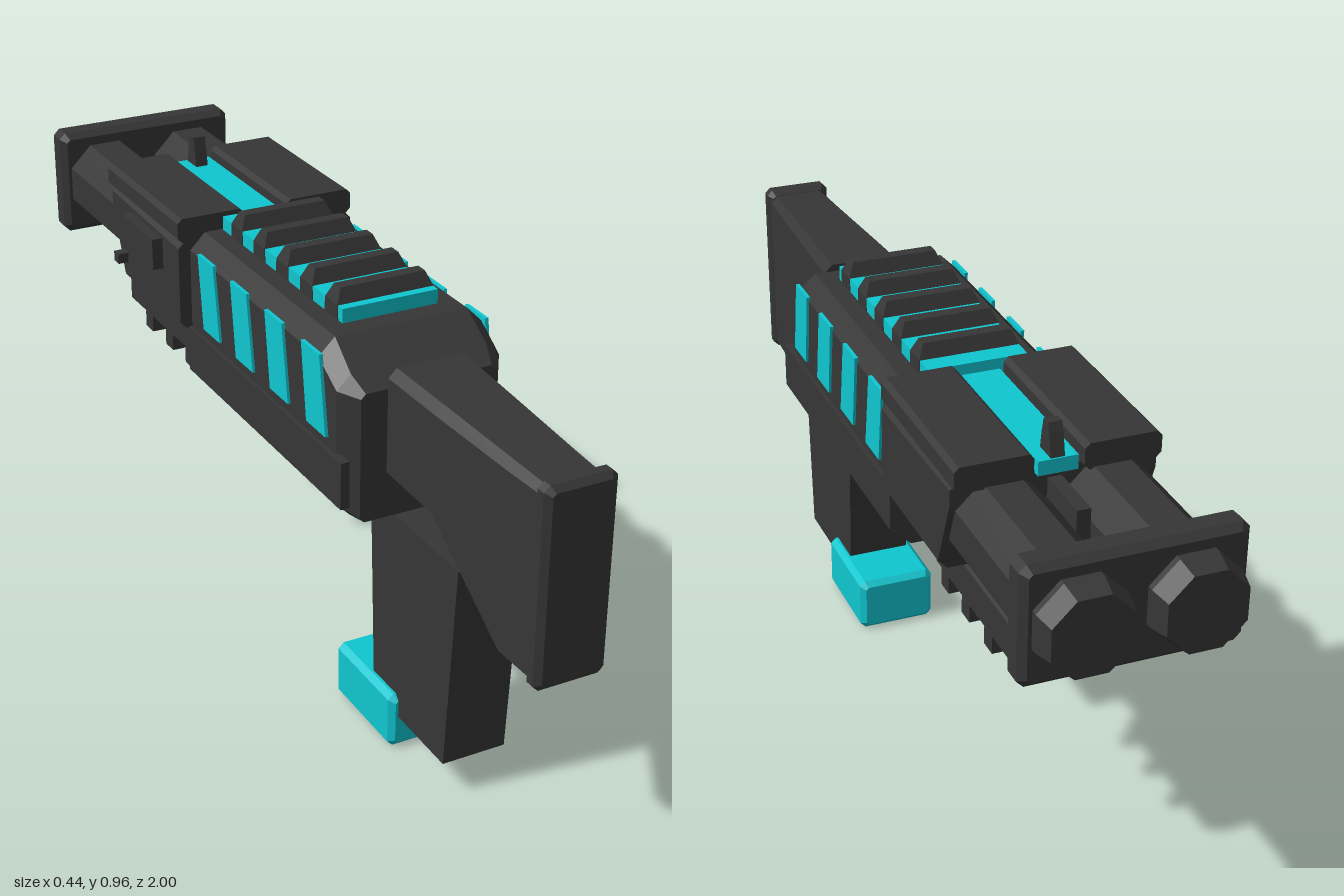
import * as THREE from 'three';
import { ConvexGeometry } from 'three/addons/geometries/ConvexGeometry.js';

export function createModel() {
  const model = new THREE.Group();
  model.name = 'doubleBarrelBlaster';
  const body = new THREE.Group();
  body.name = 'blaster';
  body.position.x = 0.005;
  model.add(body);

  const gunmetal = new THREE.MeshStandardMaterial({ color: 0x363636 });
  gunmetal.name = 'gunmetal';
  const cyan = new THREE.MeshStandardMaterial({ color: 0x0fc6d0 });
  cyan.name = 'cyan';

  const add = (name, geometry, material = gunmetal) => {
    const mesh = new THREE.Mesh(geometry, material);
    mesh.name = name;
    body.add(mesh);
    return mesh;
  };

  // Octagonal cross-section across z: centre x, half width, bottom, top, chamfer
  const section = (z, w, y0, y1, c = 0.015, cx = 0) => [
    [w - c, y0], [w, y0 + c], [w, y1 - c], [w - c, y1],
    [c - w, y1], [-w, y1 - c], [-w, y0 + c], [c - w, y0],
  ].map(([x, y]) => new THREE.Vector3(cx + x, y, z));
  const hull = (...sections) => new ConvexGeometry(sections.flat());

  // Flat (z, y) outline given thickness from x0 to x1
  const plate = (outline, x0, x1) => new ConvexGeometry(
    outline.flatMap(([z, y]) => [x0, x1].map((x) => new THREE.Vector3(x, y, z))));

  // Plain box and box with chamfered edges, from corner ranges
  const box = (x0, x1, y0, y1, z0, z1) => new THREE.BoxGeometry(x1 - x0, y1 - y0, z1 - z0)
    .translate((x0 + x1) / 2, (y0 + y1) / 2, (z0 + z1) / 2);
  const bevelBox = (w, y0, y1, z0, z1, c) => hull(
    section(z0, w - c, y0 + c, y1 - c, c / 2), section(z0 + c, w, y0, y1, c),
    section(z1 - c, w, y0, y1, c), section(z1, w - c, y0 + c, y1 - c, c / 2));

  // Receiver with sloped rear
  add('receiver', hull(
    section(-0.22, 0.18, 0.53, 0.88, 0.035), section(0.37, 0.18, 0.53, 0.88, 0.035),
    section(0.44, 0.178, 0.53, 0.832, 0.03), section(0.48, 0.147, 0.53, 0.805, 0.01)));

  // Side trims and slanted stripes
  for (const s of [-1, 1]) {
    add('sideTrim', box(s > 0 ? 0.17 : -0.189, s > 0 ? 0.189 : -0.17, 0.57, 0.67, -0.22, 0.48));
    for (let i = 0; i < 4; i++) {
      const z = 0.41 - i * 0.159;
      add('sideStripe', plate(
        [[z, 0.693], [z - 0.08, 0.693], [z - 0.102, 0.856], [z - 0.026, 0.856]],
        s * 0.178, s * 0.186), cyan);
    }
  }

  // Top rail with cross ribs
  add('railBase', box(-0.105, 0.105, 0.87, 0.91, -0.215, 0.325), cyan);
  for (let i = 0; i < 5; i++) {
    const z = 0.28 - i * 0.106;
    const ring = (y, w, d) => [[-w, -d], [w, -d], [w, d], [-w, d]]
      .map(([x, dz]) => new THREE.Vector3(x, y, z + dz));
    add('railRib', hull(ring(0.875, 0.106, 0.028), ring(0.91, 0.106, 0.026), ring(0.94, 0.093, 0.013)));
  }

  // Stock, lofted in convex spans
  const stock = [
    section(0.48, 0.09, 0.61, 0.845, 0.018), section(0.64, 0.084, 0.6, 0.84, 0.018),
    section(0.87, 0.073, 0.43, 0.832, 0.016), section(0.965, 0.068, 0.43, 0.829, 0.014),
  ];
  for (let i = 0; i < stock.length - 1; i++) add('stock', hull(stock[i], stock[i + 1]));
  add('buttPlate', bevelBox(0.075, 0.428, 0.842, 0.957, 1.0, 0.012));

  // Grip and its foot block
  add('grip', plate([[0.72, 0.53], [0.385, 0.53], [0.41, 0.075], [0.69, 0.075]], -0.07, 0.07));
  add('gripFoot', bevelBox(0.088, 0, 0.125, 0.275, 0.512, 0.012), cyan);

  // Forend body, split lid and centre strip
  add('forend', hull(
    section(-0.225, 0.205, 0.66, 0.87, 0.02), section(-0.53, 0.205, 0.66, 0.87, 0.02),
    section(-0.59, 0.205, 0.82, 0.87, 0.01)));
  for (const s of [-1, 1]) {
    add('forendLid', hull(
      section(-0.61, 0.0775, 0.862, 0.916, 0.01, s * 0.1275),
      section(-0.225, 0.0775, 0.862, 0.916, 0.01, s * 0.1275)));
  }
  add('forendStrip', box(-0.04, 0.04, 0.865, 0.895, -0.605, -0.23), cyan);

  // Front sight and the lug between the barrels
  add('frontSight', plate([[-0.55, 0.88], [-0.605, 0.88], [-0.592, 0.94], [-0.585, 0.96], [-0.565, 0.96], [-0.558, 0.93]], -0.014, 0.014));
  add('barrelLug', box(-0.014, 0.014, 0.74, 0.85, -0.72, -0.56));

  // Side panel and button on one side
  add('sidePanel', box(-0.229, -0.2, 0.775, 0.845, -0.48, -0.31));
  add('sideButton', box(-0.229, -0.2, 0.715, 0.738, -0.535, -0.51));

  // Twin octagonal barrels with tapered muzzles
  for (const s of [-1, 1]) {
    add('barrel', hull(
      section(-0.5, 0.087, 0.69, 0.866, 0.05, s * 0.107),
      section(-0.955, 0.087, 0.69, 0.866, 0.05, s * 0.107),
      section(-1.0, 0.077, 0.7, 0.856, 0.045, s * 0.107)));
  }
  add('muzzleBand', bevelBox(0.215, 0.655, 0.9, -0.942, -0.876, 0.014));

  // Ribbed foregrip below the forend
  add('foregrip', bevelBox(0.127, 0.522, 0.636, -0.715, -0.298, 0.02));
  for (const z of [-0.365, -0.475, -0.59]) {
    add('foregripRib', box(-0.127, 0.127, 0.503, 0.54, z - 0.02, z + 0.02));
  }
  return model;
}
